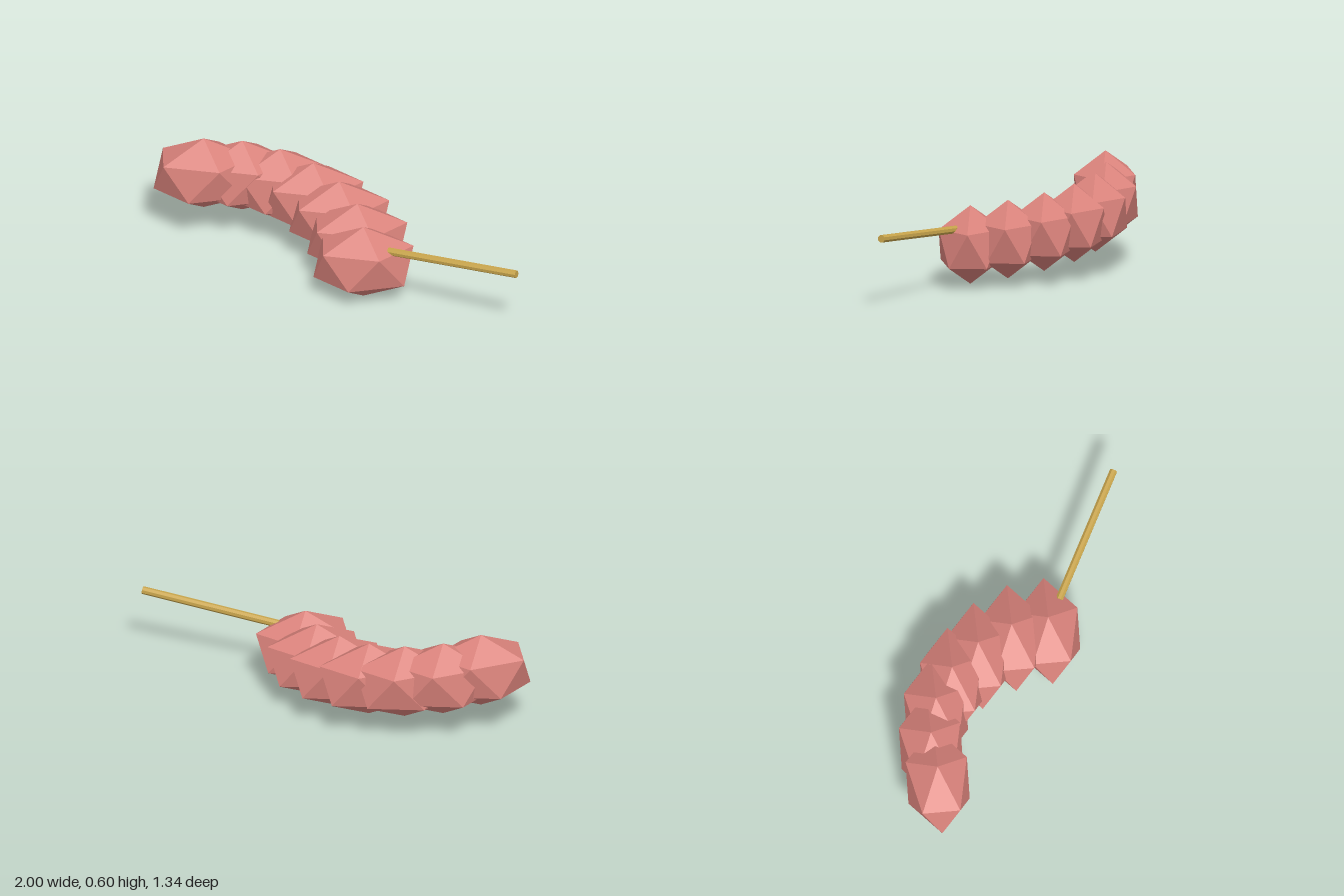
import * as THREE from 'three';

export function createModel() {
  const group = new THREE.Group();
  const pink = new THREE.MeshStandardMaterial({ color: 0xd9827b });
  pink.name = 'salmon pink';
  pink.flatShading = true;
  const gold = new THREE.MeshStandardMaterial({ color: 0xc9a54c });
  gold.name = 'brass';
  gold.flatShading = true;

  // One faceted segment: icosahedron standing on a corner, widest along x
  const segment = new THREE.IcosahedronGeometry(1, 0);
  segment.rotateZ(-Math.atan(2 / (1 + Math.sqrt(5))));
  segment.scale(0.308, 0.2195, 0.199);

  // Segment centres [x, z] along the curved body, rising evenly to the back
  const centres = [
    [0.147, 0.205], [0.115, 0], [0.018, -0.194], [-0.123, -0.351],
    [-0.304, -0.457], [-0.512, -0.504], [-0.725, -0.487],
  ];
  const body = new THREE.Group();
  body.name = 'body';
  centres.forEach(([x, z], i) => {
    const mesh = new THREE.Mesh(segment, pink);
    mesh.name = 'bodySegment' + (i + 1);
    mesh.position.set(x, 0.2245 + 0.0265 * i, z);
    body.add(mesh);
  });
  group.add(body);

  // Thin rod running out of the first segment
  const start = new THREE.Vector3(0.285, 0.332, 0.278);
  const end = new THREE.Vector3(0.985, 0.4, 0.645);
  const axis = end.clone().sub(start);
  const rod = new THREE.Mesh(new THREE.CylinderGeometry(0.022, 0.022, axis.length(), 8), gold);
  rod.name = 'rod';
  rod.position.copy(start).add(end).multiplyScalar(0.5);
  rod.quaternion.setFromUnitVectors(new THREE.Vector3(0, 1, 0), axis.normalize());
  group.add(rod);

  return group;
}
